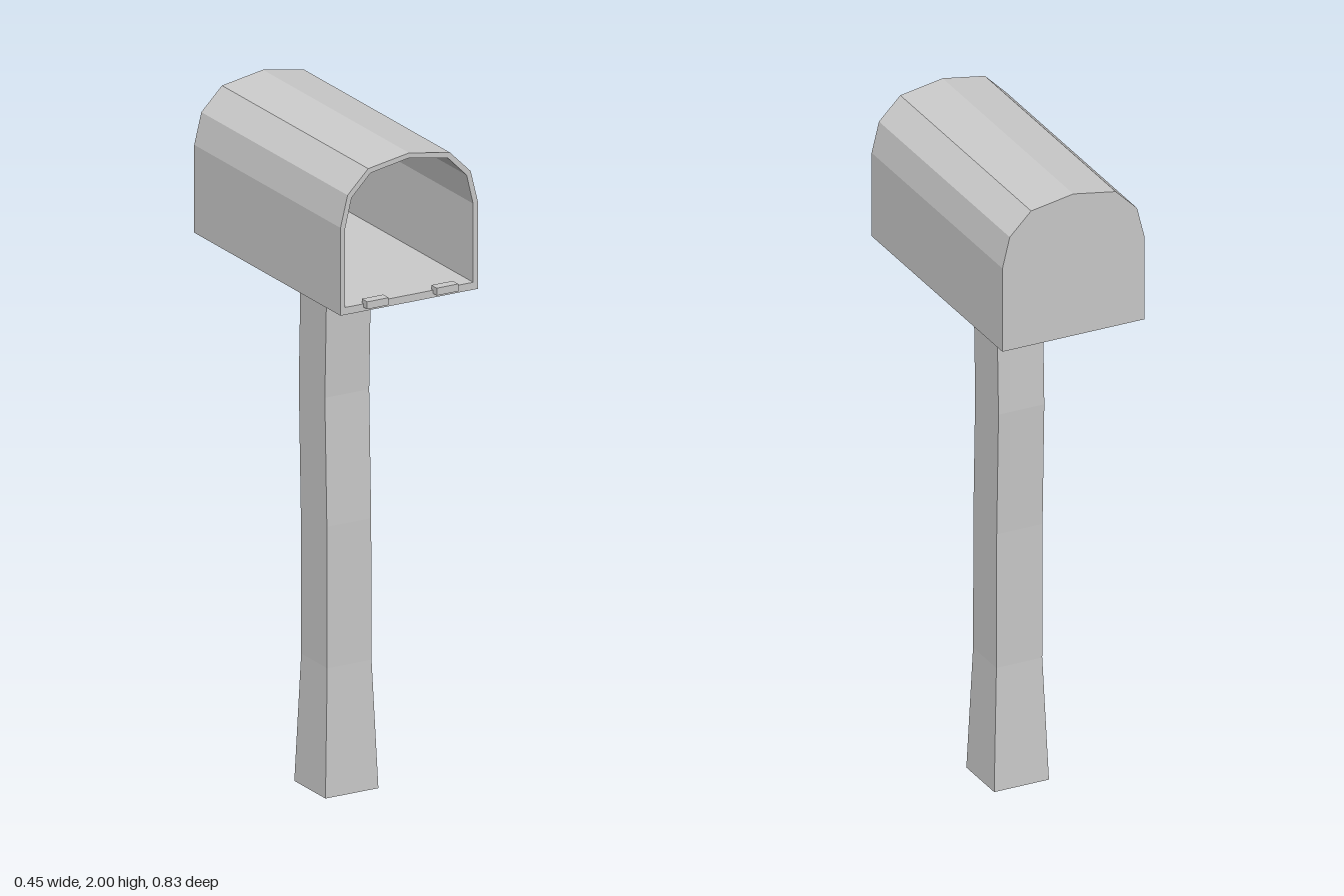
import * as THREE from 'three';

const material = new THREE.MeshStandardMaterial({ color: 0xcccccc, flatShading: true });

function add(group, name, geometry, x = 0, y = 0, z = 0) {
  const mesh = new THREE.Mesh(geometry, material);
  mesh.name = name;
  mesh.position.set(x, y, z);
  group.add(mesh);
}

// Arched outline: flat floor, straight sides, six-facet roof
function archPoints(base, half) {
  const mirrored = half.slice(0, -1).reverse().map(([x, y]) => [-x, y]);
  return [[half[0][0], base], ...half, ...mirrored, [-half[0][0], base]]
    .map(([x, y]) => new THREE.Vector2(x, y));
}

function extrude(shape, depth) {
  return new THREE.ExtrudeGeometry(shape, { depth, bevelEnabled: false });
}

export function createModel() {
  const model = new THREE.Group();
  model.name = 'mailbox';

  // Hollow box, open at the front
  const outer = archPoints(1.556, [[0.223, 1.817], [0.2, 1.91], [0.133, 1.977], [0, 2]]);
  const inner = archPoints(1.578, [[0.208, 1.812], [0.187, 1.9], [0.125, 1.963], [0, 1.985]]);
  const backZ = -0.414, frontZ = 0.394, wall = 0.015;
  const shell = new THREE.Shape(outer);
  shell.holes.push(new THREE.Path(inner));
  add(model, 'boxShell', extrude(shell, frontZ - backZ), 0, 0, backZ);
  add(model, 'backPanel', extrude(new THREE.Shape(inner), wall), 0, 0, backZ);

  // Two hinge tabs below the opening
  for (const side of [-1, 1]) {
    add(model, side > 0 ? 'leftHinge' : 'rightHinge',
      new THREE.BoxGeometry(0.07, 0.022, 0.03), side * 0.113, 1.579, 0.399);
  }

  // Slightly crooked square post, flared at the foot: [y, half width, centre z]
  const rings = [[0, 0.086, -0.008], [0.38, 0.072, -0.008], [0.8, 0.072, -0.01],
    [1.18, 0.072, -0.021], [1.556, 0.072, -0.01]];
  const post = new THREE.BoxGeometry(2, rings.length - 1, 2, 1, rings.length - 1, 1);
  const p = post.attributes.position;
  for (let i = 0; i < p.count; i++) {
    const [y, half, z] = rings[Math.round(p.getY(i) + (rings.length - 1) / 2)];
    p.setXYZ(i, p.getX(i) * half, y, p.getZ(i) * half + z);
  }
  post.computeVertexNormals();
  add(model, 'post', post);

  return model;
}
